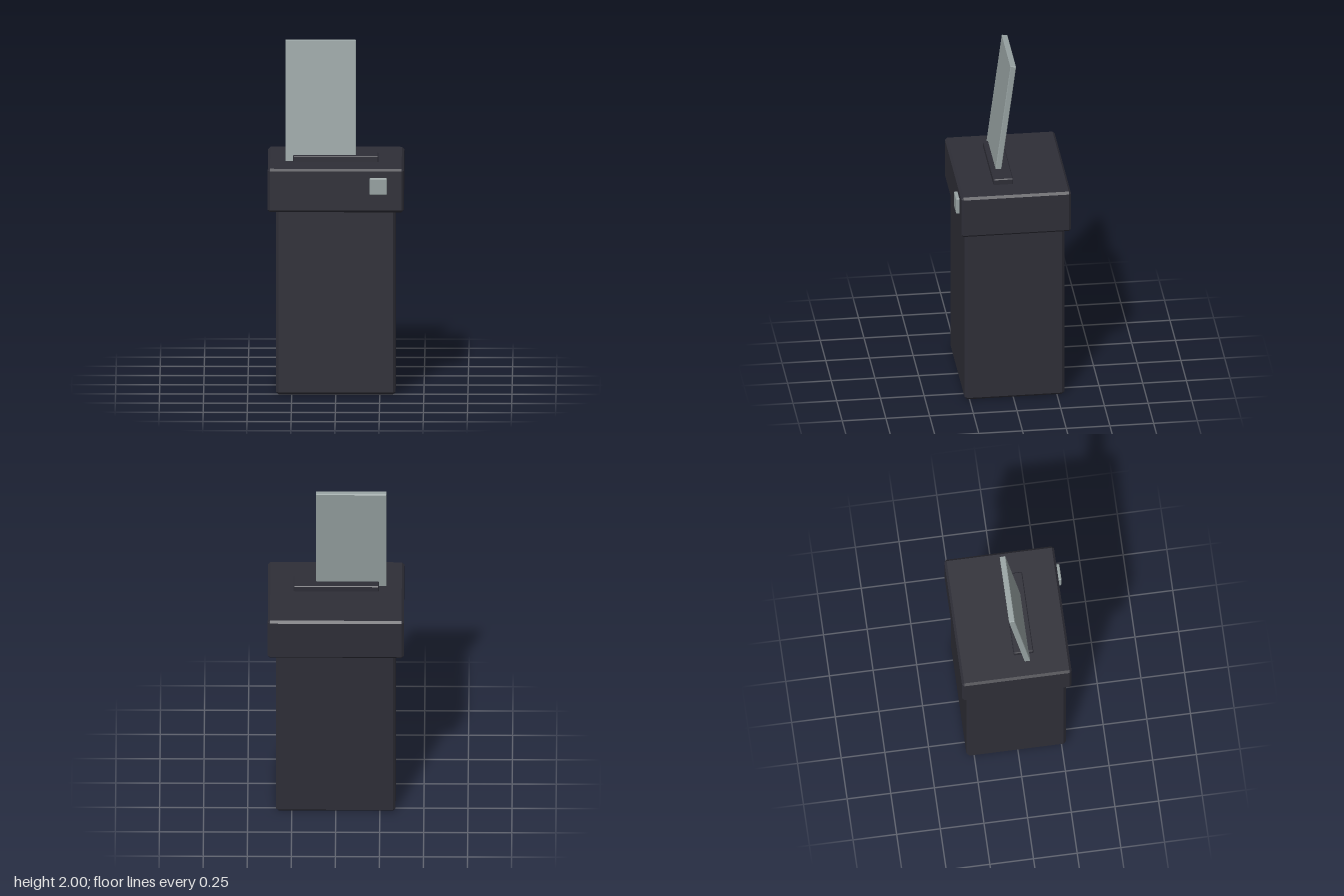
import * as THREE from 'three';
import { ConvexGeometry } from 'three/addons/geometries/ConvexGeometry.js';

// Box with flat chamfered edges, centred on the origin
function chamferedBox(w, h, d, c) {
  const points = [];
  for (const sx of [-1, 1]) for (const sy of [-1, 1]) for (const sz of [-1, 1]) {
    const x = w / 2, y = h / 2, z = d / 2;
    points.push(
      new THREE.Vector3(sx * x, sy * (y - c), sz * (z - c)),
      new THREE.Vector3(sx * (x - c), sy * y, sz * (z - c)),
      new THREE.Vector3(sx * (x - c), sy * (y - c), sz * z)
    );
  }
  return new ConvexGeometry(points);
}

export function createModel() {
  const model = new THREE.Group();
  model.name = 'paperShredder';

  const casing = new THREE.MeshStandardMaterial({ color: 0x2e2e37 });
  casing.name = 'dark casing';
  const pale = new THREE.MeshStandardMaterial({ color: 0x97a2a2 });
  pale.name = 'pale grey';

  // Adds a chamfered box from its minimum and maximum corners
  const addBox = (name, min, max, chamfer, material) => {
    const size = max.map((v, i) => v - min[i]);
    const mesh = new THREE.Mesh(chamferedBox(...size, chamfer), material);
    mesh.position.set(...max.map((v, i) => (v + min[i]) / 2));
    mesh.name = name;
    model.add(mesh);
    return mesh;
  };

  // Waste bin and the wider cutting head on top of it
  addBox('bin', [-0.34, 0, -0.293], [0.34, 1.08, 0.278], 0.016, casing);
  addBox('head', [-0.386, 1.064, -0.325], [0.386, 1.316, 0.303], 0.013, casing);

  // Raised feed slot and front button
  addBox('feedSlot', [-0.243, 1.305, -0.011], [0.241, 1.35, 0.102], 0.005, casing);
  addBox('button', [0.193, 1.17, 0.29], [0.29, 1.266, 0.322], 0.004, pale);

  // Sheet leaning backwards out of the slot
  const sheet = new THREE.Mesh(chamferedBox(0.4, 0.72, 0.033, 0.003), pale);
  sheet.name = 'sheet';
  sheet.rotation.x = -0.13;
  sheet.position.set(-0.087, 1.641, 0.019);
  model.add(sheet);

  return model;
}
